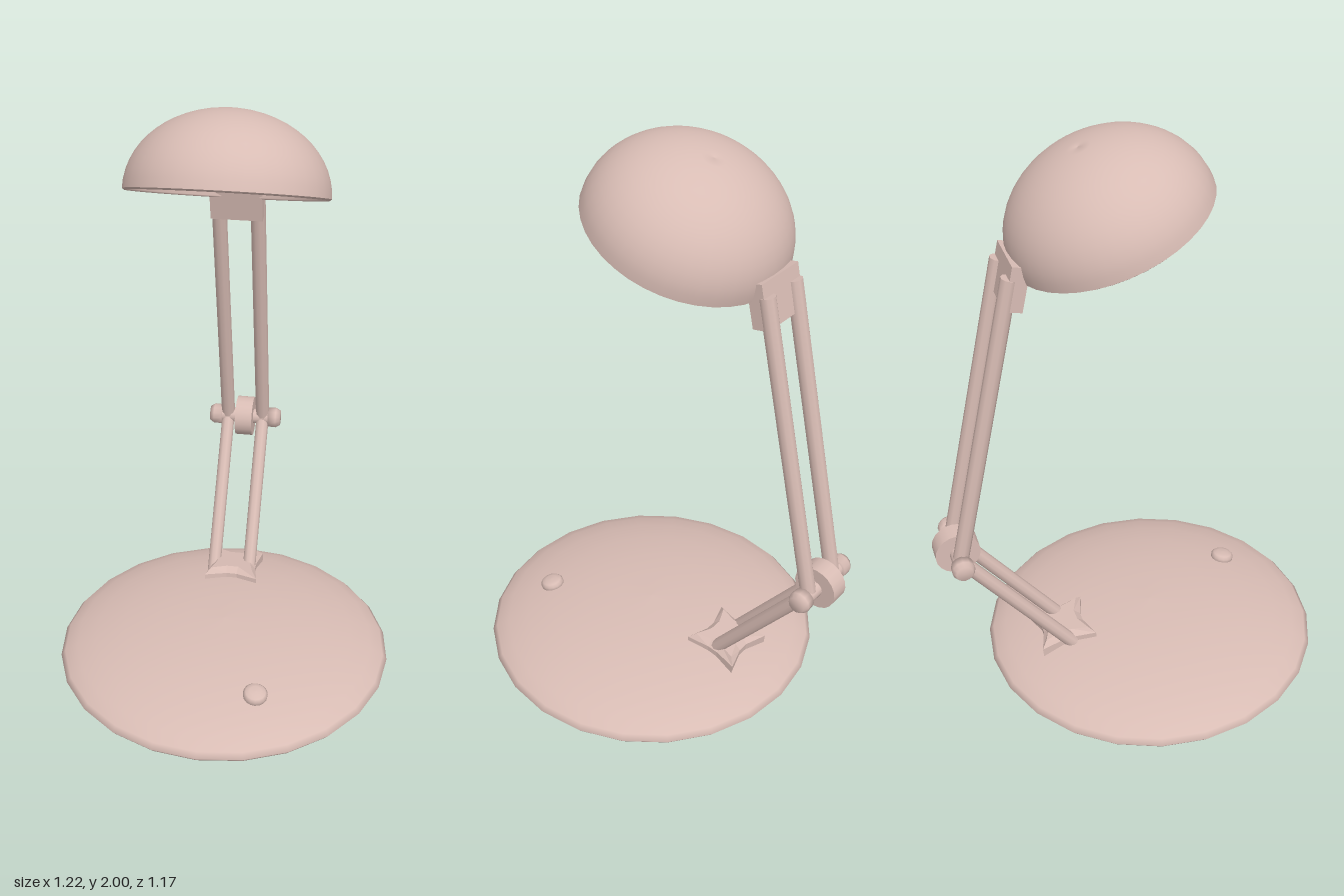
import * as THREE from 'three';

const material = new THREE.MeshStandardMaterial({ color: 0xd8bcb4, side: THREE.DoubleSide });
const facetedMaterial = new THREE.MeshStandardMaterial({ color: 0xd8bcb4, flatShading: true });

function add(parent, name, geometry, x = 0, y = 0, z = 0, mat = material) {
  const mesh = new THREE.Mesh(geometry, mat);
  mesh.name = name;
  mesh.position.set(x, y, z);
  parent.add(mesh);
  return mesh;
}

const lathe = (pts, sides) =>
  new THREE.LatheGeometry(pts.map(([r, y]) => new THREE.Vector2(r, y)), sides);

// Round bar between two points
function addRod(parent, name, from, to, radius) {
  const dir = to.clone().sub(from);
  const mid = from.clone().add(to).multiplyScalar(0.5);
  const rod = add(parent, name, new THREE.CylinderGeometry(radius, radius, dir.length(), 10), mid.x, mid.y, mid.z);
  rod.quaternion.setFromUnitVectors(new THREE.Vector3(0, 1, 0), dir.normalize());
  return rod;
}

export function createModel() {
  const lamp = new THREE.Group();
  lamp.name = 'deskLamp';

  // Weighted base: a shallow lens shape
  const baseProfile = [[0, 0], [0.3, 0.002], [0.44, 0.008], [0.53, 0.028], [0.578, 0.046], [0.59, 0.062],
    [0.575, 0.08], [0.53, 0.104], [0.46, 0.128], [0.36, 0.152], [0.24, 0.169], [0.12, 0.178], [0, 0.181]];
  add(lamp, 'base', lathe(baseProfile, 24), -0.029, 0, 0).rotation.y = Math.PI / 24;

  // Push button, lying on the slope of the base
  const button = add(lamp, 'switchButton',
    lathe([[0, -0.02], [0.041, -0.02], [0.042, 0.006], [0.034, 0.015], [0.02, 0.019], [0, 0.02]], 16),
    -0.21, 0.15, 0.343);
  button.rotation.set(0.18, 0, 0.09);

  // Arm frame: origin under the elbow, x points away from the base, z along the hinge
  const arm = new THREE.Group();
  arm.name = 'arm';
  arm.position.set(0.5, 0, -0.435);
  arm.rotation.y = 0.654;
  lamp.add(arm);

  const elbowY = 0.635, foot = [-0.365, 0.15], top = [-0.225, 1.64];

  // Star-shaped foot mount with tapering sides
  const star = new THREE.Shape([[0.09, 0.09], [0.065, 0.02], [0.065, -0.02], [0.09, -0.09], [0.02, -0.075], [-0.02, -0.075],
    [-0.09, -0.09], [-0.065, -0.02], [-0.065, 0.02], [-0.09, 0.09], [-0.02, 0.075], [0.02, 0.075]]
    .map(([x, y]) => new THREE.Vector2(x, y)));
  const mountGeo = new THREE.ExtrudeGeometry(star,
    { depth: 0.04, bevelThickness: 0.02, bevelSize: 0.02, bevelOffset: -0.012, bevelSegments: 1 });
  mountGeo.rotateX(-Math.PI / 2);
  add(arm, 'footMount', mountGeo, -0.352, 0.135, 0.01, facetedMaterial).rotation.z = -0.1;

  // Paired rods of the lower and upper arm
  for (const side of [-1, 1]) {
    const z = side * 0.067;
    const elbow = new THREE.Vector3(0, elbowY, z);
    addRod(arm, 'lowerRod', new THREE.Vector3(foot[0], foot[1], z), elbow, 0.024);
    addRod(arm, 'upperRod', elbow, new THREE.Vector3(top[0], top[1], z), 0.026);

    // Hinge knob with a chamfered outer end
    const knob = add(arm, 'hingeKnob',
      lathe([[0, 0], [0.037, 0], [0.038, 0.03], [0.028, 0.046], [0, 0.046]], 12), 0, elbowY, side * 0.09);
    knob.rotation.x = side * Math.PI / 2;
  }

  // Elbow hinge
  add(arm, 'hingeAxle', new THREE.CylinderGeometry(0.028, 0.028, 0.2, 12), 0, elbowY, 0).rotation.x = Math.PI / 2;
  add(arm, 'hingeDisc', new THREE.CylinderGeometry(0.075, 0.075, 0.064, 20), 0, elbowY, 0).rotation.x = Math.PI / 2;

  // Bracket joining the rods to the shade
  add(arm, 'shadeBracket', new THREE.BoxGeometry(0.055, 0.145, 0.178), -0.242, 1.608, 0, facetedMaterial)
    .rotation.z = 0.22;

  // Shade: thin half-ellipsoid shell, outside then back down the inside
  const shell = [];
  const steps = 14;
  for (let i = 0; i <= steps; i++) {
    const a = (i / steps) * Math.PI / 2;
    shell.push([Math.max(0, 0.325 * Math.cos(a)), 0.26 * Math.sin(a)]);
  }
  for (let i = steps; i >= 0; i--) {
    const a = (i / steps) * Math.PI / 2;
    shell.push([Math.max(0, 0.311 * Math.cos(a)), 0.246 * Math.sin(a)]);
  }
  shell.push([0.318, -0.005], [0.325, 0]);
  add(arm, 'shade', lathe(shell, 40), -0.557, 1.73, 0.015).rotation.z = -0.367;

  return lamp;
}
